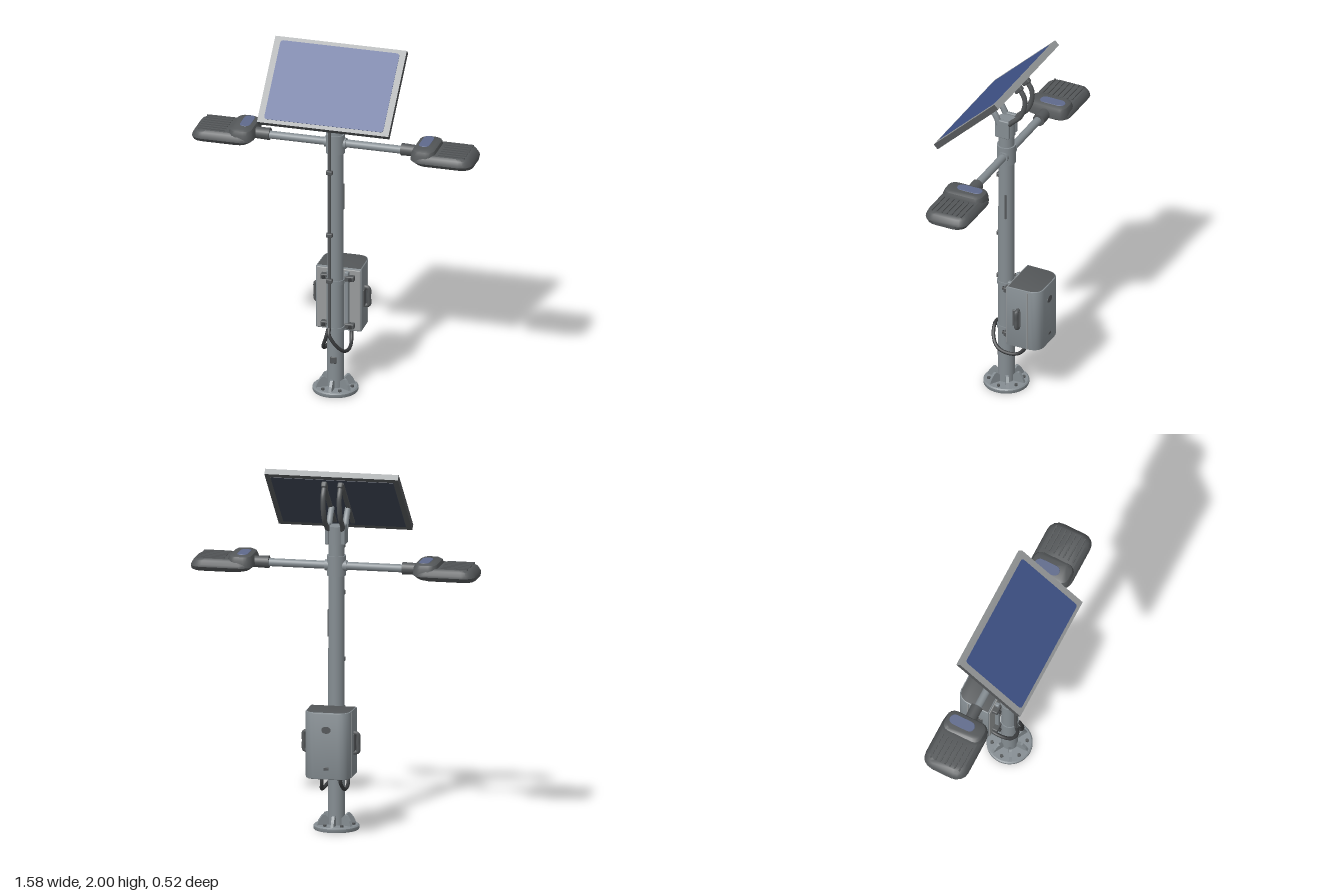
import * as THREE from 'three';
import { toCreasedNormals } from 'three/addons/utils/BufferGeometryUtils.js';
import { RoundedBoxGeometry } from 'three/addons/geometries/RoundedBoxGeometry.js';

const mat = (name, color) => {
  const m = new THREE.MeshStandardMaterial({ color });
  m.name = name;
  return m;
};

export function createModel() {
  const steel = mat('steel grey', 0x858d92);
  const light = mat('frame grey', 0x989b9c);
  const dark = mat('dark grey', 0x545759);
  const black = mat('cable black', 0x3a3c3e);
  const blue = mat('panel blue', 0x40548a);
  const backing = mat('panel backing', 0x3b4352);
  const lens = mat('lens brown', 0x6b5848);
  const glass = mat('sensor blue', 0x5f6a8c);

  const model = new THREE.Group();
  model.name = 'solarStreetLight';

  const add = (parent, name, geo, material, x = 0, y = 0, z = 0) => {
    const mesh = new THREE.Mesh(geo, material);
    mesh.name = name;
    mesh.position.set(x, y, z);
    parent.add(mesh);
    return mesh;
  };
  const box = (w, h, d) => new THREE.BoxGeometry(w, h, d);
  const rbox = (w, h, d, r) => new RoundedBoxGeometry(w, h, d, 3, r);
  const cyl = (r0, r1, h, n = 28) => new THREE.CylinderGeometry(r0, r1, h, n);
  const tube = (pts, r) => new THREE.TubeGeometry(
    new THREE.CatmullRomCurve3(pts.map(p => new THREE.Vector3(...p))), 32, r, 8);

  // Solid lofted through rounded rectangles: [y, x0, x1, half depth, corner radius]
  const loft = (sections) => {
    const pos = [], idx = [], n = 20;
    for (const [y, x0, x1, hz, r] of sections) {
      for (let k = 0; k < 4; k++) {
        for (let j = 0; j < 5; j++) {
          const a = (k + j / 4) * Math.PI / 2;
          const sx = k === 0 || k === 3 ? x1 - r : x0 + r;
          const sz = k < 2 ? hz - r : r - hz;
          pos.push(sx + r * Math.cos(a), y, sz + r * Math.sin(a));
        }
      }
    }
    const last = (sections.length - 1) * n;
    for (let s = 0; s < last; s += n) {
      for (let i = 0; i < n; i++) {
        const l = s + i, m = s + (i + 1) % n;
        idx.push(l, l + n, m, m, l + n, m + n);
      }
    }
    for (let i = 1; i < n - 1; i++) {
      idx.push(0, i, i + 1, last, last + i + 1, last + i);
    }
    const g = new THREE.BufferGeometry();
    g.setAttribute('position', new THREE.Float32BufferAttribute(pos, 3));
    g.setIndex(idx);
    return toCreasedNormals(g, 0.6);
  };

  // Base flange with gussets and bolts
  const profile = [[0, 0.006], [0.05, 0.006], [0.05, 0], [0.122, 0], [0.125, 0.006], [0.125, 0.02], [0.118, 0.026], [0.04, 0.026]];
  add(model, 'baseFlange', toCreasedNormals(new THREE.LatheGeometry(profile.map(p => new THREE.Vector2(...p)), 40), 0.5), steel);
  add(model, 'baseUnderside', new THREE.RingGeometry(0.05, 0.122, 40).rotateX(Math.PI / 2), dark, 0, -0.0005, 0);
  const gusset = new THREE.Shape([[0.04, 0], [0.112, 0], [0.1, 0.03], [0.08, 0.058], [0.068, 0.06], [0.04, 0.035]].map(p => new THREE.Vector2(...p)));
  for (let i = 0; i < 6; i++) {
    const a = Math.PI / 2 + i * Math.PI / 3;
    const geo = new THREE.ExtrudeGeometry(gusset, { depth: 0.016, bevelEnabled: false }).translate(0, 0, -0.008);
    add(model, 'baseGusset', geo, steel, 0, 0.024, 0).rotation.y = a;
    const b = a + Math.PI / 6;
    add(model, 'baseBolt', cyl(0.01, 0.01, 0.012, 6), dark, 0.095 * Math.cos(b), 0.03, 0.095 * Math.sin(b));
  }

  // Pole with sleeve rings and small marks
  add(model, 'pole', cyl(0.043, 0.046, 1.6, 36), steel, 0, 0.81, 0);
  for (const y of [0.365, 0.645]) add(model, 'poleStrap', cyl(0.05, 0.05, 0.024, 36), steel, 0, y, 0);
  add(model, 'poleHatch', rbox(0.034, 0.04, 0.012, 0.004), dark, 0, 0.19, 0.042);
  add(model, 'poleSlot', box(0.006, 0.15, 0.01), dark, 0.042, 1.14, -0.015);

  // Conduit down the front and its clips
  add(model, 'conduit', cyl(0.009, 0.009, 1.24, 10), dark, -0.02, 0.98, 0.047);
  for (const y of [0.66, 0.93, 1.3, 1.56]) add(model, 'conduitClip', rbox(0.036, 0.024, 0.026, 0.005), dark, -0.02, y, 0.05);

  // Cross arm and collar
  add(model, 'crossArm', cyl(0.022, 0.022, 0.84, 20).rotateZ(Math.PI / 2), steel, 0, 1.46, -0.006);
  add(model, 'armCollar', cyl(0.052, 0.052, 0.11, 32), steel, 0, 1.46, 0);
  add(model, 'collarSleeve', cyl(0.03, 0.03, 0.12, 20).rotateZ(Math.PI / 2), steel, 0, 1.46, -0.006);

  // Lamp heads
  for (const side of [1, -1]) {
    const lamp = new THREE.Group();
    lamp.name = side > 0 ? 'leftLamp' : 'rightLamp';
    lamp.position.z = -0.01;
    if (side < 0) lamp.rotation.y = Math.PI;
    model.add(lamp);
    add(lamp, 'lampNeck', cyl(0.034, 0.031, 0.1, 20).rotateZ(Math.PI / 2), dark, 0.42, 1.462, 0);
    add(lamp, 'lampBody', loft([
      [1.417, 0.50, 0.775, 0.095, 0.05], [1.425, 0.47, 0.787, 0.115, 0.06],
      [1.445, 0.445, 0.79, 0.13, 0.065], [1.458, 0.447, 0.785, 0.129, 0.065],
      [1.478, 0.47, 0.772, 0.118, 0.055], [1.488, 0.50, 0.755, 0.105, 0.05]]), dark);
    add(lamp, 'lampDriverCover', loft([
      [1.45, 0.442, 0.585, 0.122, 0.045], [1.485, 0.446, 0.582, 0.12, 0.045],
      [1.505, 0.455, 0.575, 0.112, 0.04], [1.514, 0.472, 0.56, 0.098, 0.03]]), dark);
    add(lamp, 'coverGlass', loft([
      [1.512, 0.474, 0.535, 0.075, 0.03], [1.516, 0.476, 0.533, 0.073, 0.03]]), glass, 0, 0, -0.02 * side);
    add(lamp, 'lampLens', loft([
      [1.413, 0.535, 0.755, 0.076, 0.025], [1.419, 0.535, 0.755, 0.076, 0.025]]), lens);
    for (let i = -3; i <= 3; i++) add(lamp, 'coolingFin', box(0.15, 0.012, 0.008), dark, 0.675, 1.488, i * 0.029);
  }

  // Solar panel, tilted towards the front
  const panel = new THREE.Group();
  panel.name = 'solarPanel';
  panel.position.set(0, 1.811, 0.06);
  panel.rotation.x = -46 * Math.PI / 180;
  model.add(panel);
  add(panel, 'panelFrame', box(0.74, 0.51, 0.034), [dark, dark, light, dark, light, dark]);
  add(panel, 'panelCells', loft([[0, -0.335, 0.335, 0.233, 0.015], [0.003, -0.335, 0.335, 0.233, 0.015]]).rotateX(Math.PI / 2), blue, 0, 0, 0.0165);
  add(panel, 'panelBacking', box(0.68, 0.45, 0.004), backing, 0, 0, -0.0175);
  for (const x of [-0.05, 0.05]) add(panel, 'panelRail', rbox(0.026, 0.4, 0.012, 0.004), dark, x, 0, -0.022);

  // Panel bracket: socket on the pole plus paired arms
  add(model, 'bracketSocket', cyl(0.05, 0.05, 0.1, 28), steel, 0, 1.63, 0);
  for (const x of [-0.045, 0.045]) {
    add(model, 'bracketCheek', rbox(0.022, 0.11, 0.085, 0.006), steel, x, 1.635, 0);
    add(model, 'frontBracketArm', tube([[x, 1.66, 0.02], [x, 1.71, 0.042], [x, 1.76, 0.085]], 0.017), steel);
    add(model, 'rearBracketArm', tube([
      [x * 0.8, 1.65, -0.02], [x, 1.69, -0.055], [x, 1.74, -0.105], [x, 1.81, -0.132],
      [x, 1.87, -0.13], [x, 1.935, -0.088]], 0.014), dark);
    add(model, 'rearArmFoot', rbox(0.03, 0.055, 0.035, 0.008), dark, x, 1.915, -0.095).rotation.x = -0.8;
  }

  // Battery box behind the pole, rounded at the back
  const outline = new THREE.Shape();
  outline.moveTo(-0.122, 0.07);
  outline.lineTo(0.122, 0.07);
  outline.lineTo(0.12, 0.195);
  outline.quadraticCurveTo(0.115, 0.255, 0.06, 0.255);
  outline.lineTo(-0.06, 0.255);
  outline.quadraticCurveTo(-0.115, 0.255, -0.12, 0.195);
  outline.closePath();
  const boxGeo = new THREE.ExtrudeGeometry(outline, {
    depth: 0.354, bevelThickness: 0.008, bevelSize: 0.006, bevelSegments: 2, curveSegments: 8,
  }).rotateX(-Math.PI / 2);
  add(model, 'batteryBox', toCreasedNormals(boxGeo, 0.6), [dark, steel], 0, 0.333, 0);
  add(model, 'boxFrontPlate', rbox(0.245, 0.355, 0.01, 0.004), light, 0, 0.51, -0.063);
  add(model, 'boxBackRecess', cyl(0.026, 0.026, 0.006, 24).rotateX(Math.PI / 2).scale(1, 0.75, 1), dark, 0, 0.6, -0.26);
  add(model, 'boxLatch', rbox(0.03, 0.016, 0.008, 0.003), dark, 0, 0.385, -0.26);
  for (const s of [-1, 1]) {
    add(model, 'boxSeam', box(0.004, 0.355, 0.006), light, s * 0.127, 0.51, -0.19);
    add(model, 'boxRail', rbox(0.022, 0.34, 0.028, 0.005), steel, s * 0.05, 0.51, -0.05);
    add(model, 'boxHandle', tube([
      [s * 0.12, 0.455, -0.135], [s * 0.148, 0.462, -0.135], [s * 0.15, 0.51, -0.135],
      [s * 0.148, 0.558, -0.135], [s * 0.12, 0.565, -0.135]], 0.012), dark);
    add(model, 'handlePad', rbox(0.012, 0.1, 0.05, 0.005), dark, s * 0.127, 0.51, -0.125);
    for (const y of [0.365, 0.645]) {
      add(model, 'boxClamp', rbox(0.055, 0.03, 0.035, 0.006), dark, s * 0.067, y, -0.045);
      add(model, 'clampBolt', cyl(0.01, 0.01, 0.02, 6).rotateX(Math.PI / 2), black, s * 0.075, y, -0.025);
    }
  }

  // Cables looping from the conduit to the underside of the box
  add(model, 'leftCable', tube([
    [-0.02, 0.38, 0.055], [-0.015, 0.35, 0.075], [0.02, 0.29, 0.068], [0.052, 0.245, 0.03],
    [0.064, 0.23, -0.03], [0.06, 0.24, -0.1], [0.05, 0.285, -0.14], [0.05, 0.335, -0.145]], 0.01), black);
  add(model, 'rightCable', tube([
    [-0.025, 0.38, 0.055], [-0.035, 0.33, 0.066], [-0.056, 0.27, 0.045], [-0.062, 0.24, 0],
    [-0.06, 0.235, -0.07], [-0.052, 0.28, -0.13], [-0.05, 0.335, -0.14]], 0.01), black);
  for (const x of [-0.05, 0.05]) add(model, 'cableGland', cyl(0.018, 0.016, 0.03, 12), black, x, 0.316, -0.142);

  return model;
}
